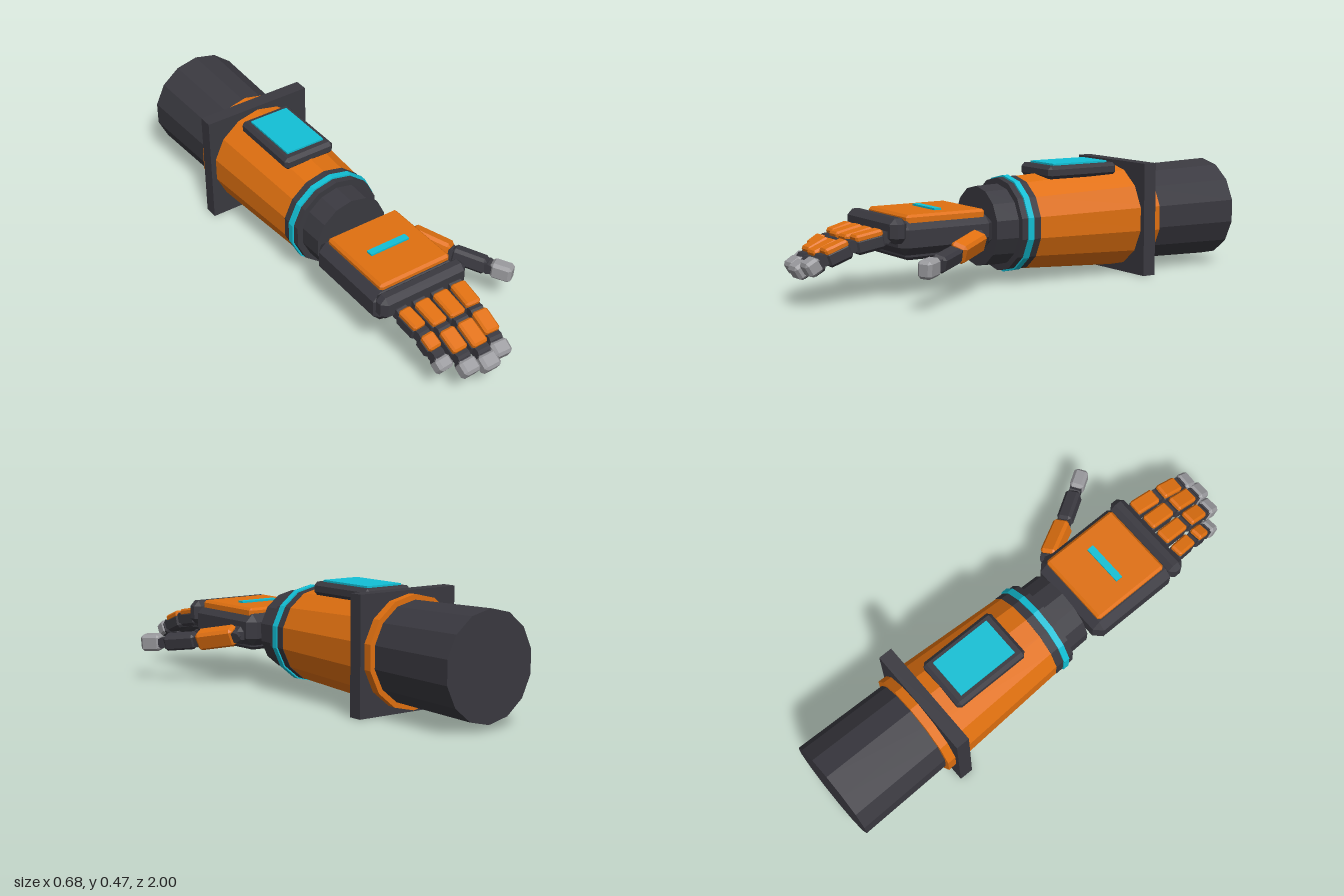
import * as THREE from 'three';
import { ConvexGeometry } from 'three/addons/geometries/ConvexGeometry.js';

const material = (name, color) => {
  const m = new THREE.MeshStandardMaterial({ color, flatShading: true });
  m.name = name;
  return m;
};

export function createModel() {
  const dark = material('charcoal', 0x3a3940);
  const orange = material('orange', 0xe07010);
  const cyan = material('cyan', 0x12c0d6);
  const grey = material('fingertip grey', 0x9a9a9e);

  const model = new THREE.Group();
  model.name = 'mechanicalArm';

  const add = (parent, name, geometry, mat, x = 0, y = 0, z = 0) => {
    const mesh = new THREE.Mesh(geometry, mat);
    mesh.name = name;
    mesh.position.set(x, y, z);
    parent.add(mesh);
    return mesh;
  };

  // Box with every edge cut at 45 degrees
  const chamferBox = (w, h, d, c) => {
    const points = [];
    for (const sx of [-1, 1]) for (const sy of [-1, 1]) for (const sz of [-1, 1]) {
      for (let axis = 0; axis < 3; axis++) {
        const cut = [c, c, c];
        cut[axis] = 0;
        points.push(new THREE.Vector3(
          sx * (w / 2 - cut[0]), sy * (h / 2 - cut[1]), sz * (d / 2 - cut[2])));
      }
    }
    return new ConvexGeometry(points);
  };

  // Chamfered box given by its limits on each axis
  const block = (name, mat, [x0, x1], [y0, y1], [z0, z1], c) =>
    add(model, name, chamferBox(x1 - x0, y1 - y0, z1 - z0, c), mat,
      (x0 + x1) / 2, (y0 + y1) / 2, (z0 + z1) / 2);

  // Fourteen-sided sleeves along the arm
  const AX = -0.11, AY = 0.235;
  const sleeve = (name, mat, z0, z1, r0, r1) => {
    const g = new THREE.CylinderGeometry(r1, r0, z1 - z0, 14).rotateX(Math.PI / 2);
    add(model, name, g, mat, AX, AY, (z0 + z1) / 2);
  };
  sleeve('upperArm', dark, -1, -0.55, 0.211, 0.199);
  sleeve('forearm', orange, -0.597, -0.02, 0.222, 0.191);
  sleeve('wristCuff', dark, -0.021, 0.066, 0.193, 0.19);
  sleeve('cuffLight', cyan, 0.014, 0.04, 0.198, 0.198);
  sleeve('wrist', dark, 0.06, 0.166, 0.165, 0.162);

  // Square flange and forearm screen
  add(model, 'squareFlange', new THREE.BoxGeometry(0.468, 0.468, 0.058), dark, AX, 0.234, -0.531);
  block('screenHousing', dark, [-0.223, 0.003], [0.414, 0.467], [-0.452, -0.115], 0.014);
  add(model, 'screen', new THREE.BoxGeometry(0.17, 0.009, 0.266), cyan, AX, 0.47, -0.284);

  // Palm
  block('palm', dark, [-0.303, 0.082], [0.172, 0.304], [0.192, 0.61], 0.032);
  block('palmPad', dark, [-0.262, 0.042], [0.15, 0.2], [0.24, 0.57], 0.012);
  block('knuckleBar', dark, [-0.308, 0.086], [0.222, 0.32], [0.58, 0.652], 0.022);
  block('handPlate', orange, [-0.265, 0.058], [0.285, 0.327], [0.226, 0.574], 0.01);
  add(model, 'handLight', new THREE.BoxGeometry(0.177, 0.009, 0.03), cyan, -0.103, 0.33, 0.398);

  // One segment running along +z from its group's origin
  const joint = (parent, w) => add(parent, 'joint',
    new THREE.CylinderGeometry(0.024, 0.024, w, 8).rotateZ(Math.PI / 2), dark);

  const finger = (name, x, yaw, w, lengths, angles) => {
    let parent = new THREE.Group();
    parent.name = name;
    parent.position.set(x, 0.247, 0.652);
    parent.rotation.y = yaw;
    model.add(parent);
    let tilt = 0;
    lengths.forEach((len, i) => {
      const seg = new THREE.Group();
      seg.name = ['proximalSegment', 'middleSegment', 'tipSegment'][i];
      if (i) seg.position.z = lengths[i - 1];
      const angle = THREE.MathUtils.degToRad(angles[i]);
      seg.rotation.x = angle - tilt;
      tilt = angle;
      parent.add(seg);
      joint(seg, w * 0.8);
      if (i < 2) {
        add(seg, 'segmentBody', chamferBox(w, 0.06, len - 0.02, 0.011), dark, 0, -0.008, len / 2);
        add(seg, 'segmentCover', chamferBox(w - 0.004, 0.03, len - 0.026, 0.008), orange,
          0, 0.023, len / 2);
      } else {
        add(seg, 'tipBody', chamferBox(w - 0.006, 0.056, len - 0.012, 0.01), dark, 0, -0.006, len / 2);
        add(seg, 'tipCap', chamferBox(w + 0.005, 0.06, len - 0.012, 0.011), grey,
          0, 0, len / 2 + 0.01);
      }
      parent = seg;
    });
  };
  finger('littleFinger', -0.234, 0.09, 0.06, [0.122, 0.09, 0.065], [14, 29, 36]);
  finger('ringFinger', -0.153, 0.035, 0.069, [0.145, 0.122, 0.073], [12, 24, 32]);
  finger('middleFinger', -0.067, 0.01, 0.071, [0.147, 0.136, 0.076], [12, 22, 32]);
  finger('indexFinger', 0.018, -0.055, 0.069, [0.14, 0.125, 0.073], [10, 20, 30]);

  // Thumb segments aimed from point to point, rolled outward
  const thumb = new THREE.Group();
  thumb.name = 'thumb';
  model.add(thumb);
  const path = [[0.095, 0.215, 0.275], [0.18, 0.183, 0.432], [0.262, 0.165, 0.565], [0.32, 0.158, 0.66]]
    .map(p => new THREE.Vector3(...p));
  [
    ['thumbBase', orange, 0.07, 0.078, 0.008, -0.35],
    ['thumbMiddle', dark, 0.062, 0.066, 0.012, -0.25],
    ['thumbTip', grey, 0.06, 0.07, 0.024, -0.05],
  ].forEach(([name, mat, w, h, gap, roll], i) => {
    const seg = new THREE.Group();
    seg.name = name + 'Segment';
    seg.position.copy(path[i]);
    seg.lookAt(path[i + 1]);
    seg.rotateZ(roll);
    thumb.add(seg);
    const len = path[i].distanceTo(path[i + 1]);
    joint(seg, w * 0.8);
    add(seg, name, chamferBox(w, h, len - gap, 0.012), mat, 0, 0, len / 2);
  });
  block('thumbSocket', dark, [0.03, 0.105], [0.178, 0.25], [0.24, 0.32], 0.02);

  return model;
}
